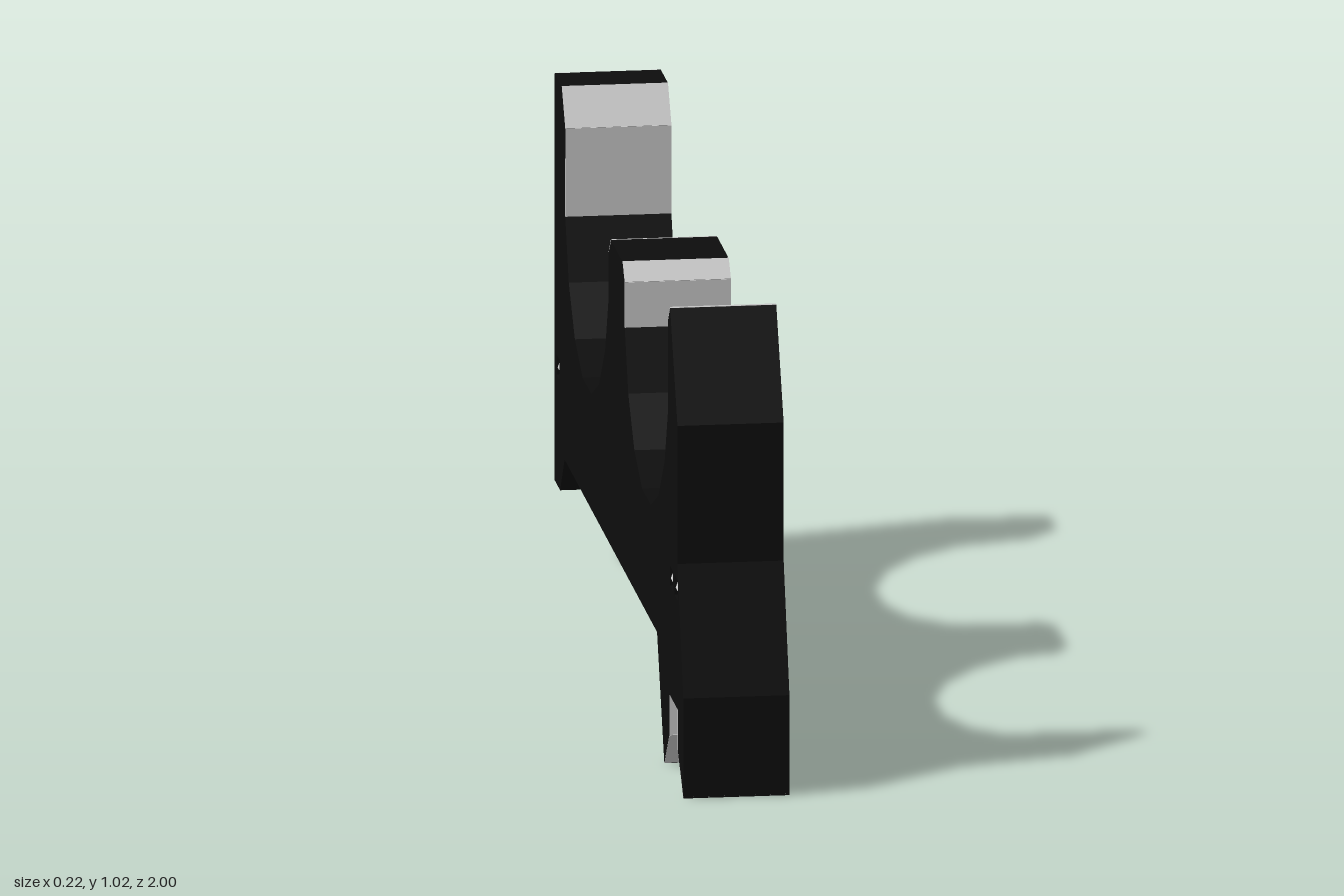
import * as THREE from 'three';

const HALF = 0.109; // half of the rack's width in x
const black = new THREE.MeshStandardMaterial({ color: 0x0d0d0d, flatShading: true });
const grey = new THREE.MeshStandardMaterial({ color: 0xcccccc, flatShading: true });

// Scooped cradle, from its front lip to its back lip, as [z, y] points
const CRADLE = [[0.3375, 0.76], [0.2825, 0.635], [0.1875, 0.54], [0.0675, 0.49]];
const cradle = (zc) => [
  ...CRADLE.map(([d, y]) => [zc + d, y]),
  ...CRADLE.slice().reverse().map(([d, y]) => [zc - d, y]),
];

// Side outline as [z, y], starting at the toe of the front hook
const outline = [
  [1, 0], [1, 0.21], [0.91, 0.47], [0.91, 0.76], [0.795, 0.98], [0.763, 0.945],
  ...cradle(0.427),
  [0.09, 0.855], [0.055, 0.89], [-0.125, 0.89], [-0.16, 0.855],
  ...cradle(-0.498),
  [-0.835, 0.945], [-0.89, 1.02], [-1, 1.02], [-1, 0.165], [-0.915, 0.165], [-0.845, 0.247],
  [0.592, 0.247], [0.705, 0], [0.785, 0.08], [0.785, 0.165], [0.915, 0.165], [0.915, 0.08],
];

// Small pockets in both sides
const POCKETS = [0.89, 0.814, -0.945];
const P_W = 0.048, P_LOW = 0.395, P_MID = 0.41, P_HIGH = 0.437;

const toVectors = (pts) => pts.map(([a, b]) => new THREE.Vector2(a, b));

// Extrude a [z, y] shape across the full width, centred on x = 0
function extrudeAcross(shape) {
  const geo = new THREE.ExtrudeGeometry(shape, { depth: HALF * 2, bevelEnabled: false });
  return geo.translate(0, 0, -HALF).rotateY(-Math.PI / 2);
}

// Thin grey facing laid on the edge between two outline points
function facing(name, [z0, y0], [z1, y1], width = HALF * 2, x = 0) {
  const length = Math.hypot(z1 - z0, y1 - y0);
  const mesh = new THREE.Mesh(new THREE.BoxGeometry(width, length, 0.003), grey);
  mesh.position.set(x, (y0 + y1) / 2, (z0 + z1) / 2);
  mesh.rotation.x = Math.atan2(z1 - z0, y1 - y0);
  mesh.name = name;
  return mesh;
}

export function createModel() {
  const group = new THREE.Group();
  group.name = 'cradleRack';

  // Body with pocket openings
  const shape = new THREE.Shape(toVectors(outline));
  for (const z of POCKETS) {
    const a = z - P_W / 2, b = z + P_W / 2;
    shape.holes.push(new THREE.Path(toVectors([[a, P_LOW], [b, P_LOW], [b, P_HIGH], [a, P_HIGH]])));
  }
  const body = new THREE.Mesh(extrudeAcross(shape), black);
  body.name = 'body';
  group.add(body);

  // Ridged grey inserts filling the pockets, cross-section in [x, y]
  const ridge = new THREE.Shape(toVectors([
    [-0.092, P_LOW], [0.092, P_LOW], [0.107, P_MID], [0.096, P_HIGH], [-0.096, P_HIGH], [-0.107, P_MID],
  ]));
  for (const z of POCKETS) {
    const geo = new THREE.ExtrudeGeometry(ridge, { depth: P_W, bevelEnabled: false });
    const insert = new THREE.Mesh(geo, grey);
    insert.position.z = z - P_W / 2;
    insert.name = 'pocketInsert';
    group.add(insert);
  }

  // Facings on the prong walls and their chamfers
  const prongs = [
    [[0.763, 0.76], [0.763, 0.945], [0.795, 0.98]],
    [[0.09, 0.76], [0.09, 0.855], [0.055, 0.89]],
    [[-0.16, 0.76], [-0.16, 0.855], [-0.125, 0.89]],
    [[-0.835, 0.76], [-0.835, 0.945], [-0.89, 1.02]],
  ];
  for (const [low, mid, high] of prongs) {
    group.add(facing('prongWall', low, mid), facing('prongChamfer', mid, high));
  }

  // Facings inside the front hook
  for (const [top, mid, toe] of [
    [[0.915, 0.165], [0.915, 0.08], [0.999, 0.002]],
    [[0.785, 0.165], [0.785, 0.08], [0.706, 0.002]],
  ]) {
    group.add(facing('hookWall', mid, top), facing('hookChamfer', toe, mid));
  }

  // Upright strips along both edges of the back
  const STRIP = 0.034;
  for (const side of [-1, 1]) {
    group.add(facing('backStrip', [-1, 0.165], [-1, 1.02], STRIP, side * (HALF - STRIP / 2)));
  }
  return group;
}
